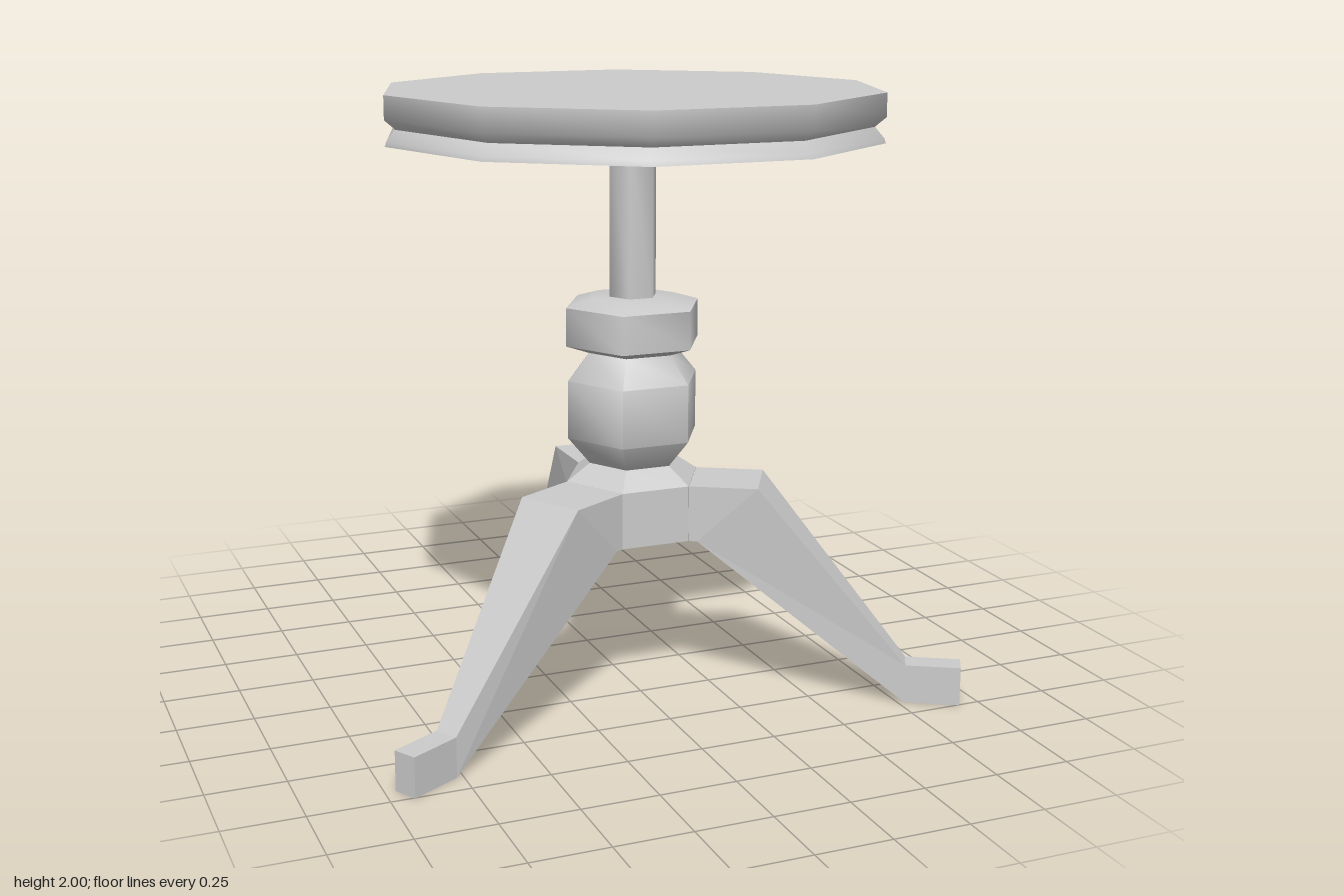
import * as THREE from 'three';
import { toCreasedNormals } from 'three/addons/utils/BufferGeometryUtils.js';

const smooth = new THREE.MeshStandardMaterial({ color: 0xcccccc });
const flat = new THREE.MeshStandardMaterial({ color: 0xcccccc, flatShading: true });

// Faceted turning: profile runs bottom to top, with a corner on the +x axis
function turned(name, profile, sides, z, material = smooth) {
  const points = profile.map(([r, y]) => new THREE.Vector2(r, y));
  const lathe = new THREE.LatheGeometry(points, sides, Math.PI / 2);
  const mesh = new THREE.Mesh(toCreasedNormals(lathe, THREE.MathUtils.degToRad(65)), material);
  mesh.name = name;
  mesh.position.z = z;
  return mesh;
}

// Leg along +x: a box whose four sections are moved to the stations
function legGeometry() {
  const stations = [
    { top: [0.2, 0.735], bottom: [0.2, 0.55], half: 0.115 },
    { top: [0.423, 0.735], bottom: [0.228, 0.55], half: 0.115 },
    { top: [0.913, 0.13], bottom: [0.913, 0], half: 0.04 },
    { top: [1.093, 0.13], bottom: [1.093, 0], half: 0.04 },
  ];
  const geometry = new THREE.BoxGeometry(3, 1, 2, 3, 1, 1);
  const pos = geometry.attributes.position;
  for (let i = 0; i < pos.count; i++) {
    const s = stations[Math.round(pos.getX(i) + 1.5)];
    const [r, y] = pos.getY(i) > 0 ? s.top : s.bottom;
    pos.setXYZ(i, r, y, Math.sign(pos.getZ(i)) * s.half);
  }
  geometry.computeVertexNormals();
  return geometry;
}

export function createModel() {
  const model = new THREE.Group();
  model.name = 'pedestalTable';
  const axisZ = 0.173;

  // Ten-sided top with a grooved rim
  model.add(turned('tableTop', [
    [0, 1.845], [0.805, 1.845], [0.8, 1.86], [0.77, 1.895], [0.805, 1.925], [0.805, 2], [0, 2],
  ], 10, 0.157));

  // Six-sided column
  model.add(turned('shaft', [[0.08, 1.3], [0.08, 1.85]], 6, axisZ));
  model.add(turned('collar', [
    [0, 1.157], [0.15, 1.157], [0.23, 1.185], [0.23, 1.31], [0.14, 1.337], [0, 1.337],
  ], 6, axisZ));
  model.add(turned('bulb', [
    [0.15, 0.79], [0.225, 0.88], [0.225, 1.07], [0.15, 1.16],
  ], 6, axisZ));
  model.add(turned('hub', [
    [0, 0.55], [0.23, 0.55], [0.23, 0.735], [0.15, 0.79], [0, 0.79],
  ], 6, axisZ, flat));

  // Three splayed legs, the first pointing to the back
  const geometry = legGeometry();
  for (let i = 0; i < 3; i++) {
    const leg = new THREE.Mesh(geometry, flat);
    leg.name = `leg${i + 1}`;
    leg.position.z = axisZ;
    leg.rotation.y = Math.PI / 2 + (i * 2 * Math.PI) / 3;
    model.add(leg);
  }
  return model;
}
